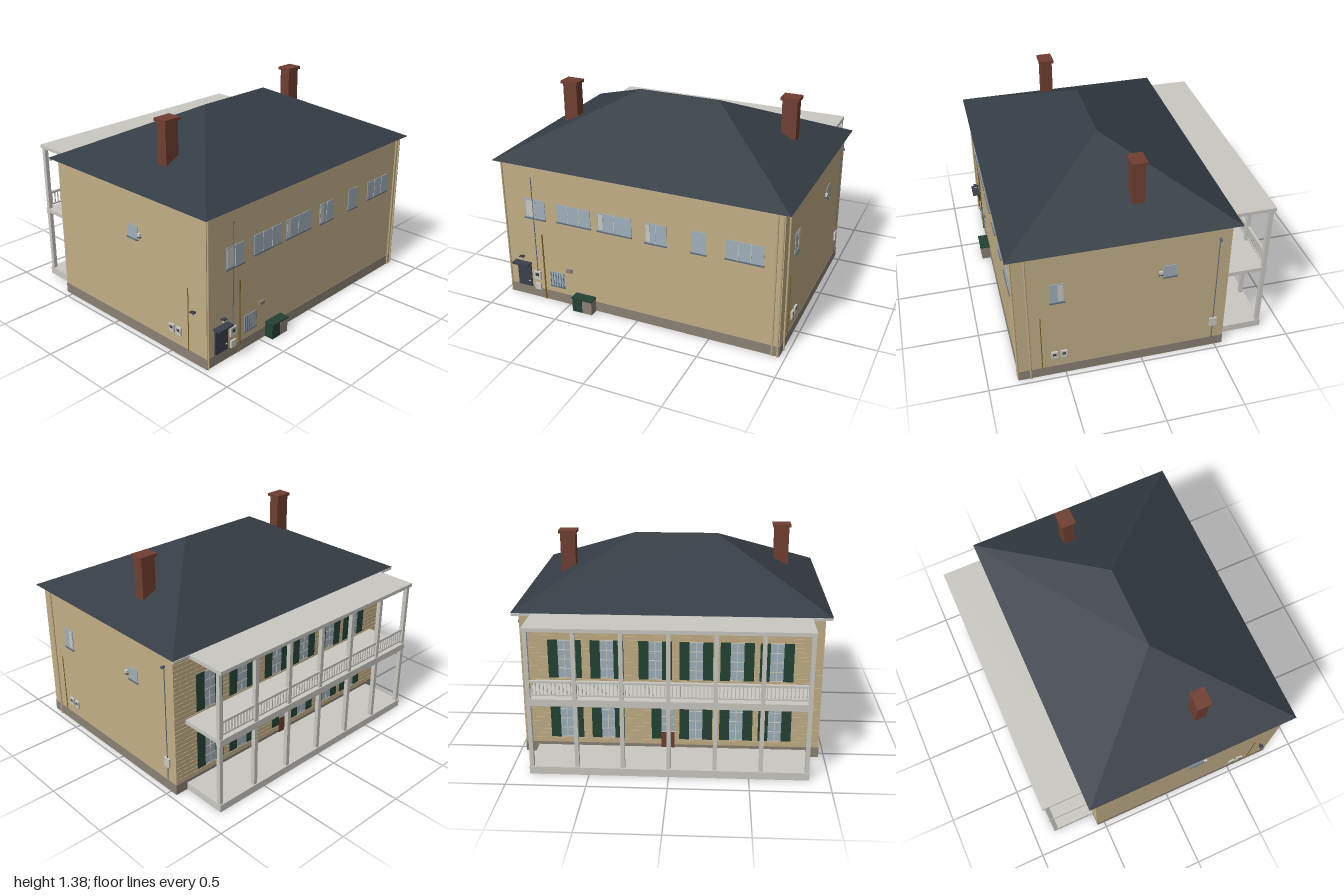
import * as THREE from 'three';
import { ConvexGeometry } from 'three/addons/geometries/ConvexGeometry.js';

const mat = (name, color) => {
  const m = new THREE.MeshStandardMaterial({ color });
  m.name = name;
  return m;
};

export function createModel() {
  const wall = mat('sandPlaster', 0xc1ae86);
  const stone = mat('greyStone', 0x8a8173);
  const slate = mat('slate', 0x343c43);
  const white = mat('paleTrim', 0xc9c8c2);
  const brick = mat('redBrick', 0x703f31);
  const glass = mat('glass', 0x9fb0ba);
  const green = mat('shutterGreen', 0x234234);
  const metal = mat('darkMetal', 0x3a404b);
  const sillBlue = mat('sillBlue', 0x5f6d7e);
  const gold = mat('brassPipe', 0x80651f);

  const house = new THREE.Group();
  house.name = 'house';
  const group = (name) => {
    const g = new THREE.Group();
    g.name = name;
    house.add(g);
    return g;
  };
  // box given by its lower and upper limits on each axis
  const box = (parent, name, m, [x0, x1], [y0, y1], [z0, z1]) => {
    const mesh = new THREE.Mesh(new THREE.BoxGeometry(x1 - x0, y1 - y0, z1 - z0), m);
    mesh.position.set((x0 + x1) / 2, (y0 + y1) / 2, (z0 + z1) / 2);
    mesh.name = name;
    parent.add(mesh);
  };
  const X = 0.96, ZF = 0.80, ZB = -0.55;
  // block fixed on a wall: u runs along the wall (x or z), d is how far it stands out
  const onWall = (parent, side, name, m, [u0, u1], y, d, from = 0) => {
    const a = { front: ZF, back: ZB, right: X, left: -X }[side];
    const s = side === 'front' || side === 'right' ? 1 : -1;
    const out = [a + s * from, a + s * (from + d)].sort((p, q) => p - q);
    if (side === 'front' || side === 'back') box(parent, name, m, [u0, u1], y, out);
    else box(parent, name, m, out, y, [u0, u1]);
  };

  // walls and plinth
  box(house, 'walls', wall, [-X, X], [0.07, 0.98], [ZB, ZF]);
  box(house, 'plinth', stone, [-X - 0.003, X + 0.003], [0, 0.07], [ZB - 0.003, ZF + 0.003]);

  // hipped roof with pale soffit
  const corners = [];
  for (const s of [-1, 1]) {
    for (const z of [-0.605, 0.84]) corners.push(new THREE.Vector3(s, 0.98, z));
    corners.push(new THREE.Vector3(s * 0.28, 1.335, 0.12));
  }
  const roof = new THREE.Mesh(new ConvexGeometry(corners), slate);
  roof.name = 'roof';
  house.add(roof);
  box(house, 'soffit', white, [-0.995, 0.995], [0.976, 0.979], [-0.6, 0.835]);
  box(house, 'backGutter', white, [-0.995, 0.995], [0.962, 0.976], [-0.605, -0.59]);

  // chimneys
  for (const [x, z] of [[-0.725, 0.25], [0.72, -0.012]]) {
    const g = group('chimney');
    box(g, 'chimneyShaft', brick, [x - 0.05, x + 0.05], [1.0, 1.36], [z - 0.038, z + 0.038]);
    box(g, 'chimneyCap', brick, [x - 0.061, x + 0.061], [1.36, 1.38], [z - 0.05, z + 0.05]);
  }

  // two-storey back porch
  const porch = group('porch');
  box(porch, 'porchBase', white, [-0.875, 0.875], [0, 0.05], [-0.86, ZB]);
  box(porch, 'balconyFloor', white, [-0.875, 0.875], [0.485, 0.513], [-0.855, ZB]);
  box(porch, 'balconyBeam', white, [-0.875, 0.875], [0.468, 0.513], [-0.858, -0.822]);
  box(porch, 'porchRoof', white, [-0.875, 0.875], [0.953, 0.977], [-0.87, ZB]);
  const bay = 1.72 / 6;
  for (let i = 0; i < 7; i++) {
    const x = -0.86 + i * bay;
    box(porch, 'porchPost', white, [x - 0.013, x + 0.013], [0.05, 0.953], [-0.853, -0.825]);
    if (i === 6) break;
    box(porch, 'topRail', white, [x, x + bay], [0.615, 0.63], [-0.847, -0.831]);
    box(porch, 'bottomRail', white, [x, x + bay], [0.53, 0.54], [-0.844, -0.834]);
    for (let j = 1; j < 12; j++) {
      const b = x + (j * bay) / 12;
      box(porch, 'baluster', white, [b - 0.003, b + 0.003], [0.54, 0.615], [-0.842, -0.836]);
    }
  }

  // boarded back wall
  const back = group('backWall');
  for (let y = 0.075; y < 0.95; y += 0.03) {
    onWall(back, 'back', 'board', wall, [-X, X], [y, y + 0.026], 0.003);
  }
  // louvred shutter
  const shutter = (x, y0, y1) => {
    onWall(back, 'back', 'shutter', green, [x - 0.032, x + 0.032], [y0, y1], 0.006);
    for (let y = y0 + 0.02; y < y1 - 0.01; y += 0.02) {
      onWall(back, 'back', 'shutterSlat', green, [x - 0.025, x + 0.025], [y, y + 0.008], 0.002, 0.006);
    }
  };
  // glazed opening with bars
  const glazing = (x, y0, y1) => {
    onWall(back, 'back', 'backPane', glass, [x - 0.043, x + 0.043], [y0, y1], 0.005);
    onWall(back, 'back', 'mullion', white, [x - 0.003, x + 0.003], [y0, y1], 0.007);
    for (let k = 0; k < 5; k++) {
      const y = y0 + (k * (y1 - y0 - 0.006)) / 4;
      onWall(back, 'back', 'glazingBar', white, [x - 0.043, x + 0.043], [y, y + 0.006], 0.007);
    }
  };
  for (const [y0, y1] of [[0.11, 0.38], [0.53, 0.79]]) {
    for (const x of [0.68, 0.41, 0.1, -0.16, -0.42, -0.67]) {
      if (y0 < 0.2 && x === 0.1) continue;
      shutter(x - 0.075, y0, y1);
      shutter(x + 0.075, y0, y1);
      glazing(x, y0, y1);
    }
  }
  // back door with a solid lower panel
  onWall(back, 'back', 'backDoorPanel', brick, [-0.023, 0.063], [0.05, 0.16], 0.008);
  glazing(0.02, 0.16, 0.38);
  shutter(0.095, 0.11, 0.38);

  // plain windows: wall side, span, heights, number of panes, pale blind span
  const windows = [
    ['front', -0.80, -0.65, 0.60, 0.735, 2, [-0.79, -0.74]],
    ['front', -0.56, -0.315, 0.61, 0.735, 3],
    ['front', -0.265, -0.025, 0.61, 0.735, 2, [-0.255, -0.225]],
    ['front', 0.07, 0.215, 0.60, 0.735, 2, [0.075, 0.105]],
    ['front', 0.38, 0.475, 0.60, 0.745, 1],
    ['front', 0.60, 0.84, 0.61, 0.735, 3],
    ['right', 0.495, 0.585, 0.60, 0.74, 1, [0.5, 0.535]],
    ['right', -0.21, -0.125, 0.655, 0.74, 1],
    ['left', 0.13, 0.22, 0.655, 0.74, 1],
  ];
  for (const [side, u0, u1, y0, y1, panes, blind] of windows) {
    const g = group('window');
    onWall(g, side, 'pane', glass, [u0, u1], [y0, y1], 0.004);
    for (let i = 1; i < panes; i++) {
      const u = u0 + ((u1 - u0) * i) / panes;
      onWall(g, side, 'windowBar', white, [u - 0.002, u + 0.002], [y0, y1], 0.006);
    }
    if (blind) onWall(g, side, 'blind', white, blind, [y0 + 0.01, y1 - 0.01], 0.006);
    onWall(g, side, 'sill', sillBlue, [u0 - 0.004, u1 + 0.004], [y0 - 0.008, y0], 0.01);
  }

  // front door with canopy
  const door = group('frontDoor');
  onWall(door, 'front', 'doorLeaf', metal, [-0.895, -0.79], [0.07, 0.24], 0.008);
  onWall(door, 'front', 'doorHandle', white, [-0.812, -0.8], [0.11, 0.116], 0.014);
  onWall(door, 'front', 'canopy', metal, [-0.91, -0.785], [0.244, 0.254], 0.053);

  // barred cellar window and vent
  const cellar = group('cellarWindow');
  onWall(cellar, 'front', 'cellarPane', glass, [-0.64, -0.535], [0.12, 0.225], 0.004);
  onWall(cellar, 'front', 'cellarSill', sillBlue, [-0.645, -0.53], [0.113, 0.12], 0.01);
  for (let i = 0; i < 6; i++) {
    const x = -0.635 + i * 0.019;
    onWall(cellar, 'front', 'windowGrille', sillBlue, [x - 0.0015, x + 0.0015], [0.12, 0.225], 0.003, 0.006);
  }
  onWall(house, 'front', 'vent', stone, [-0.51, -0.47], [0.248, 0.273], 0.016);

  // bins
  for (const [x, m] of [[-0.445, green], [-0.373, stone]]) {
    const g = group('bin');
    box(g, 'binBody', m, [x, x + 0.07], [0, 0.097], [0.803, 0.865]);
    box(g, 'binLid', green, [x - 0.003, x + 0.072], [0.097, 0.106], [0.803, 0.872]);
  }

  // meter boxes
  const meter = (side, u, y0, y1, w, dial) => {
    const g = group('meterBox');
    onWall(g, side, 'meterCase', white, [u - w / 2, u + w / 2], [y0, y1], 0.012);
    if (dial) onWall(g, side, 'meterDial', metal, [u - w / 4, u + w / 4], [y0 + 0.025, y1 - 0.012], 0.002, 0.012);
  };
  meter('front', -0.742, 0.14, 0.2, 0.05, true);
  meter('front', -0.742, 0.06, 0.108, 0.045, false);
  for (const side of ['right', 'left']) for (const z of [0.51, 0.57]) meter(side, z, 0.142, 0.195, 0.042, true);
  meter('right', -0.475, 0.175, 0.24, 0.048, false);

  // wall lamps
  for (const [side, u, y] of [['front', -0.842, 0.295], ['left', 0.71, 0.355]]) {
    const g = group('wallLamp');
    onWall(g, side, 'lampArm', metal, [u - 0.004, u + 0.004], [y - 0.008, y + 0.004], 0.03);
    onWall(g, side, 'lampShade', metal, [u - 0.015, u + 0.015], [y + 0.004, y + 0.011], 0.024, 0.014);
    onWall(g, side, 'lampGlass', white, [u - 0.009, u + 0.009], [y - 0.01, y + 0.004], 0.014, 0.019);
  }
  // small sensor boxes beside the side windows
  for (const [side, u] of [['right', -0.105], ['left', 0.24]]) {
    onWall(house, side, 'sensorBox', white, [u - 0.011, u + 0.011], [0.683, 0.705], 0.014);
    onWall(house, side, 'sensorBase', metal, [u - 0.013, u + 0.013], [0.676, 0.683], 0.014);
  }

  // downpipes, conduits and gas pipes: x, z, lower and upper end, radius
  const pipes = [
    ['downpipe', wall, 0.915, 0.806, 0, 0.976, 0.006],
    ['downpipe', wall, 0.95, 0.806, 0, 0.976, 0.006],
    ['downpipe', wall, -0.952, 0.806, 0, 0.976, 0.006],
    ['downpipe', wall, 0.966, 0.725, 0, 0.976, 0.006],
    ['conduit', sillBlue, -0.74, 0.803, 0.2, 0.89, 0.003],
    ['conduit', sillBlue, 0.963, -0.475, 0.07, 0.89, 0.003],
    ['gasPipe', gold, -0.685, 0.805, 0, 0.49, 0.005],
    ['gasPipe', gold, 0.963, 0.65, 0.07, 0.49, 0.003],
    ['gasPipe', gold, -0.963, 0.65, 0.07, 0.49, 0.003],
  ];
  for (const [name, m, x, z, y0, y1, r] of pipes) {
    const p = new THREE.Mesh(new THREE.CylinderGeometry(r, r, y1 - y0, 10), m);
    p.position.set(x, (y0 + y1) / 2, z);
    p.name = name;
    house.add(p);
  }
  onWall(house, 'right', 'conduitHead', sillBlue, [-0.482, -0.468], [0.875, 0.889], 0.024);

  return house;
}
